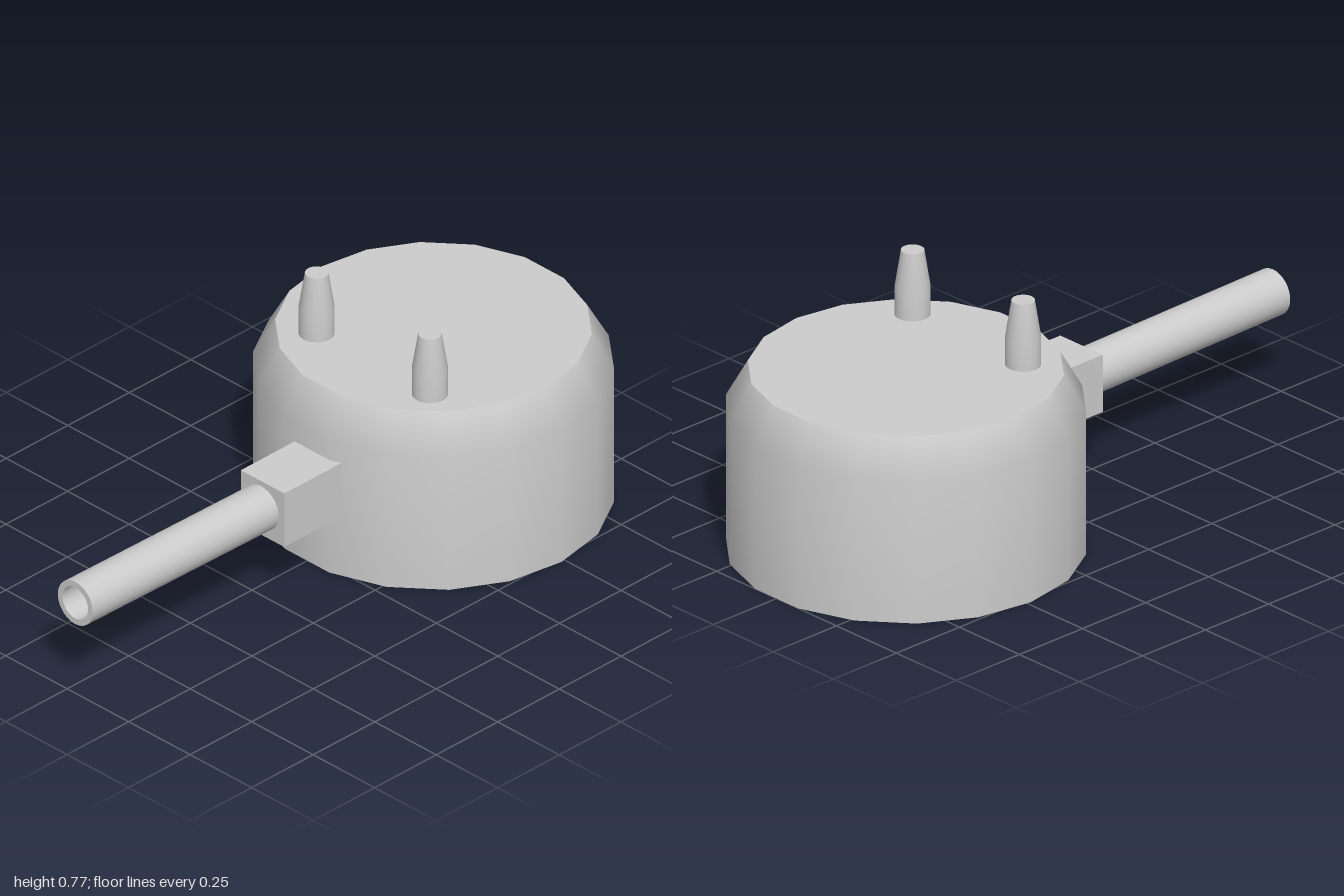
import * as THREE from 'three';
import { mergeGeometries } from 'three/addons/utils/BufferGeometryUtils.js';

const material = new THREE.MeshStandardMaterial({ color: 0xcccccc });

// Turns several profiles into one geometry; edges between profiles stay sharp.
function turned(profiles, sides, phiStart = 0) {
  return mergeGeometries(profiles.map((points) => new THREE.LatheGeometry(
    points.map(([r, y]) => new THREE.Vector2(r, y)), sides, phiStart)));
}

function addMesh(parent, name, geometry, x, y, z) {
  const mesh = new THREE.Mesh(geometry, material);
  mesh.name = name;
  mesh.position.set(x, y, z);
  parent.add(mesh);
  return mesh;
}

export function createModel() {
  const model = new THREE.Group();
  model.name = 'model';

  // Squat 18-sided body with a softly shaded bevel and flat ends
  addMesh(model, 'body', turned([
    [[0, 0], [0.521, 0]],
    [[0.521, 0], [0.521, 0.452], [0.457, 0.566]],
    [[0.457, 0.566], [0, 0.566]],
  ], 18, Math.PI / 18), 0, 0, -0.487);

  // Two tapered pegs standing on the top
  const peg = turned([
    [[0.052, -0.03], [0.052, 0.09], [0.034, 0.205]],
    [[0.034, 0.205], [0, 0.205]],
  ], 20);
  addMesh(model, 'rightPeg', peg, -0.214, 0.566, -0.226);
  addMesh(model, 'leftPeg', peg, 0.247, 0.566, -0.226);

  // Square socket on the front of the body
  addMesh(model, 'socketBlock', new THREE.BoxGeometry(0.177, 0.182, 0.265), 0.038, 0.292, 0.1125);

  // Hollow pipe, tilted very slightly upwards
  const length = 0.76;
  const pipe = addMesh(model, 'pipe', turned([
    [[0.071, 0], [0.071, length]],
    [[0.071, length], [0.052, length]],
    [[0.052, length], [0.052, 0]],
  ], 32), 0.033, 0.295, 0.24);
  pipe.rotation.x = Math.PI / 2 - 0.015;

  return model;
}
